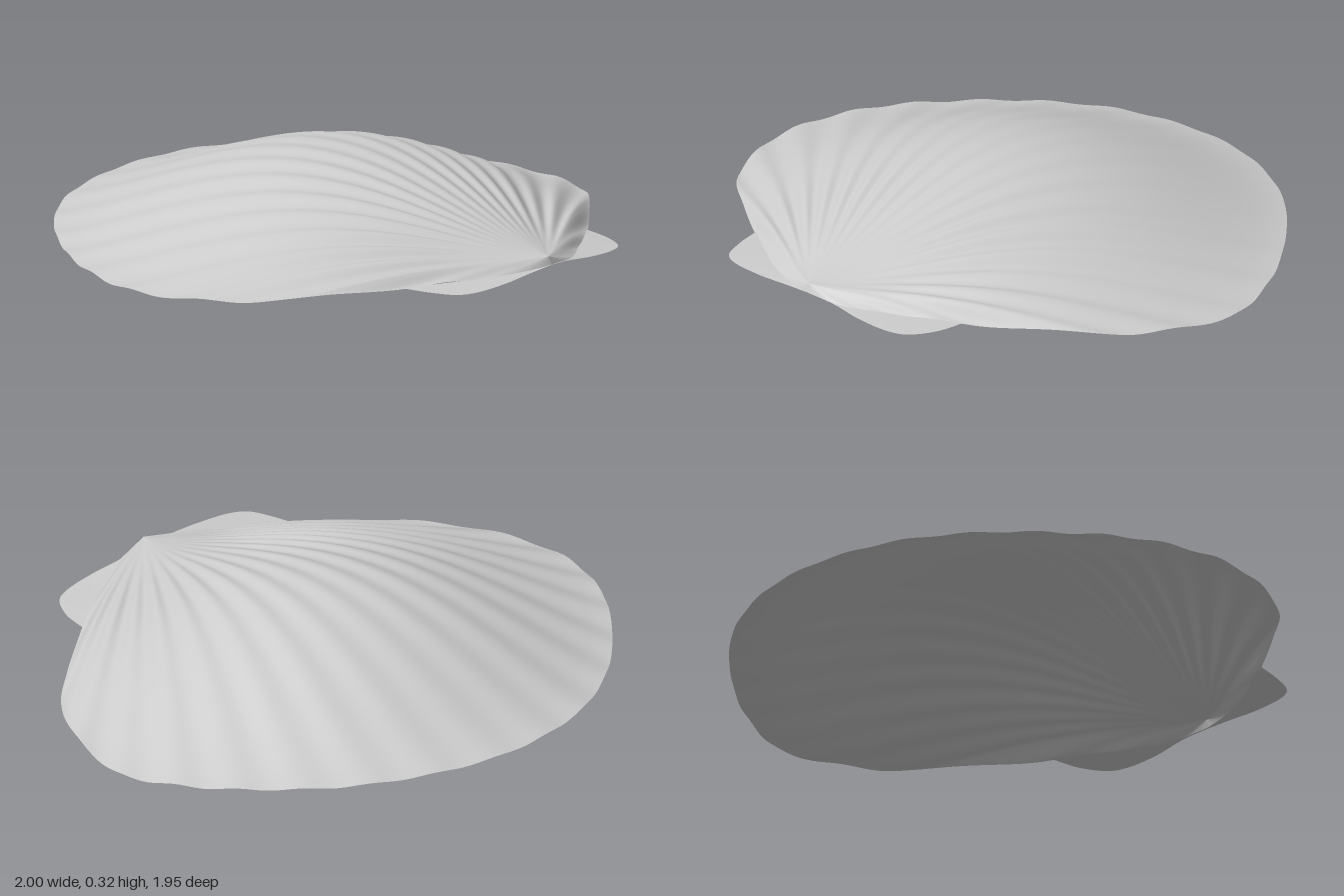
import * as THREE from 'three';

const material = new THREE.MeshStandardMaterial({ color: 0xcccccc, side: THREE.DoubleSide });
const APEX = new THREE.Vector3(0.38, 0.11, 0.838);
const RIBS = 22;

// Outer margin of the valve, from the apex round the back and home again
const RIM = [
  [0.385, 0.082, 0.848], [0.42, 0.079, 0.828], [0.5, 0.068, 0.77], [0.6, 0.058, 0.64],
  [0.75, 0.046, 0.42], [0.9, 0.035, 0.15],
  [0.98, 0.028, -0.02], [1, 0.019, -0.17], [0.985, 0.01, -0.35], [0.94, 0.003, -0.5],
  [0.8, 0.024, -0.67], [0.6, 0.043, -0.81], [0.3, 0.065, -0.94], [0.04, 0.074, -0.975],
  [-0.2, 0.074, -0.95], [-0.42, 0.07, -0.87], [-0.65, 0.065, -0.71], [-0.82, 0.06, -0.49],
  [-0.93, 0.057, -0.24], [-0.995, 0.054, 0.05], [-0.97, 0.045, 0.32], [-0.85, 0.045, 0.52],
  [-0.62, 0.052, 0.7], [-0.4, 0.06, 0.765], [-0.17, 0.067, 0.815], [0, 0.071, 0.845],
  [0.15, 0.074, 0.866], [0.26, 0.077, 0.866], [0.35, 0.08, 0.856], [0.385, 0.082, 0.848],
].map((p) => new THREE.Vector3(...p));

// Indexed grid of (rows + 1) x (cols + 1) points
function gridGeometry(rows, cols, pointAt) {
  const positions = [], index = [];
  for (let i = 0; i <= rows; i++) {
    for (let j = 0; j <= cols; j++) {
      positions.push(...pointAt(i, j));
      if (i < rows && j < cols) {
        const a = i * (cols + 1) + j, b = a + cols + 1;
        index.push(a, a + 1, b, b, a + 1, b + 1);
      }
    }
  }
  const geometry = new THREE.BufferGeometry();
  geometry.setAttribute('position', new THREE.Float32BufferAttribute(positions, 3));
  geometry.setIndex(index);
  geometry.computeVertexNormals();
  return geometry;
}

// Domed fan: smooth at the apex, with low ribs that soften again at the margin
function createValve() {
  const rows = 480, cols = 40;
  const rim = new THREE.CatmullRomCurve3(RIM, false, 'centripetal').getSpacedPoints(rows);
  const from = THREE.MathUtils.degToRad(32), to = THREE.MathUtils.degToRad(188);
  return gridGeometry(rows, cols, (i, j) => {
    const edge = rim[i], s = j / cols;
    let angle = Math.atan2(APEX.z - edge.z, edge.x - APEX.x);
    if (angle < -Math.PI / 2) angle += 2 * Math.PI;
    const u = THREE.MathUtils.clamp((angle - from) / (to - from), 0, 1);
    const p = APEX.clone().lerp(edge, s);
    const across = Math.sin(Math.PI * u ** 1.08) ** 2;
    const along = Math.max(0, Math.sin(Math.PI * s ** 1.03)) ** 1.3;
    const strength = 0.004 + 0.006 * Math.abs(Math.cos(Math.PI * u));
    const fade = THREE.MathUtils.smoothstep(s * edge.distanceTo(APEX), 0.12, 0.65) * (1 - 0.5 * s);
    p.y += 0.23 * across * along + strength * fade * Math.cos(2 * Math.PI * RIBS * u);
    return p.toArray();
  });
}

// Thin hinge wing between its outer outline and the valve margin
function createEar(outer, inner) {
  const toCurve = (pts) => new THREE.CatmullRomCurve3(
    pts.map((p) => new THREE.Vector3(...p)), false, 'centripetal');
  const a = toCurve(outer).getSpacedPoints(40), b = toCurve(inner).getSpacedPoints(40);
  return gridGeometry(40, 6, (i, j) => a[i].clone().lerp(b[i], j / 6).toArray());
}

export function createModel() {
  const group = new THREE.Group();
  const add = (name, geometry) => {
    const mesh = new THREE.Mesh(geometry, material);
    mesh.name = name;
    group.add(mesh);
  };

  add('ribbedValve', createValve());

  add('rightEar', createEar(
    [[0.385, 0.081, 0.848], [0.28, 0.073, 0.885], [0.16, 0.067, 0.935], [0.02, 0.063, 0.972],
      [-0.04, 0.063, 0.962], [-0.11, 0.064, 0.895], [-0.17, 0.066, 0.813]],
    [[0.385, 0.081, 0.842], [0.26, 0.077, 0.858], [0.1, 0.072, 0.853], [-0.17, 0.066, 0.81]]));

  add('leftEar', createEar(
    [[0.385, 0.081, 0.848], [0.48, 0.068, 0.79], [0.6, 0.055, 0.745], [0.71, 0.046, 0.685],
      [0.755, 0.043, 0.635], [0.768, 0.042, 0.53], [0.745, 0.045, 0.42]],
    [[0.385, 0.081, 0.842], [0.5, 0.068, 0.765], [0.6, 0.058, 0.635], [0.74, 0.046, 0.415]]));

  return group;
}
